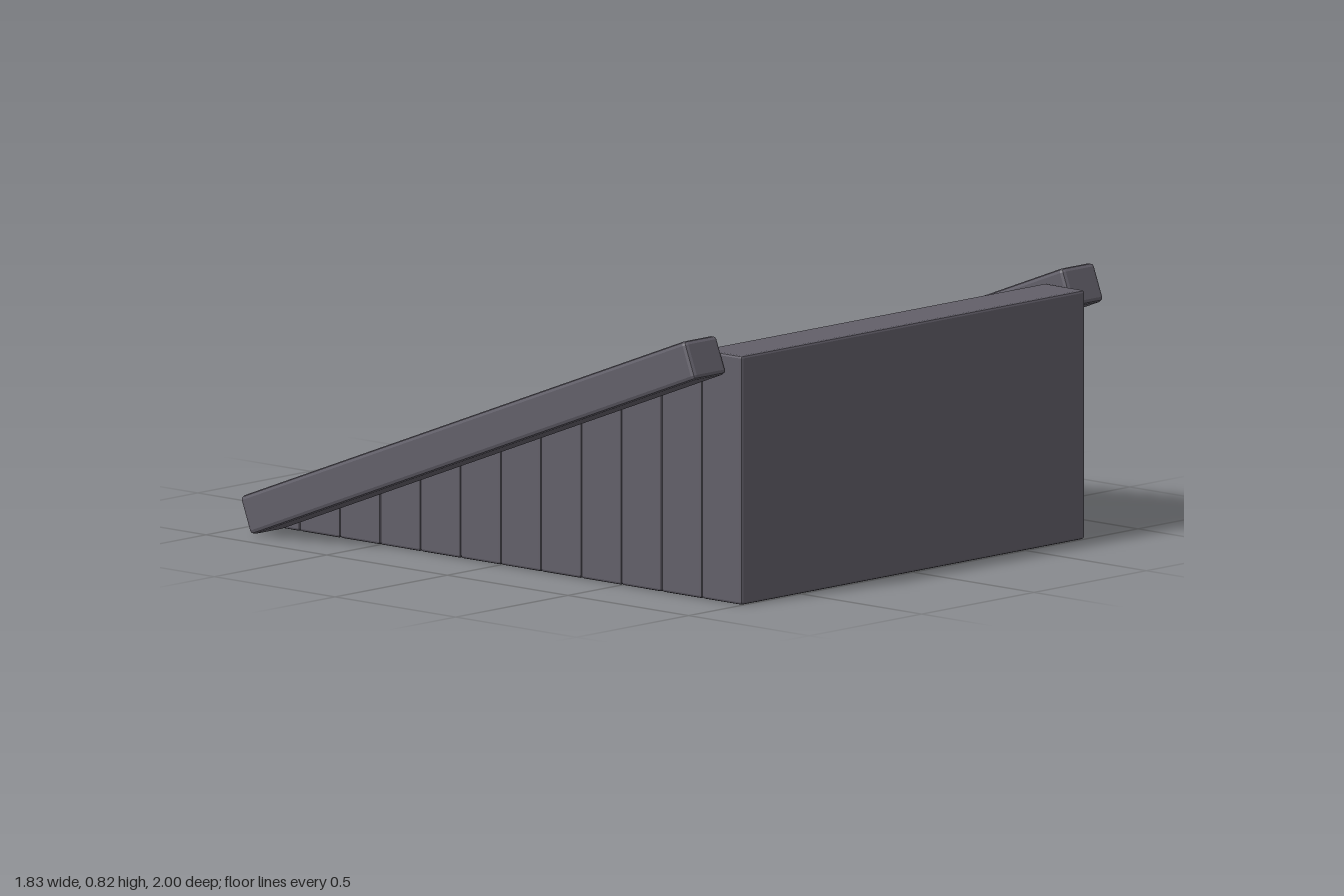
import * as THREE from 'three';
import { RoundedBoxGeometry } from 'three/addons/geometries/RoundedBoxGeometry.js';

export function createModel() {
  const group = new THREE.Group();
  group.name = 'staircase';

  const stone = new THREE.MeshStandardMaterial({ color: 0x625f69 });
  stone.name = 'dark grey stone';

  // Block with narrow flat chamfers along its edges
  function block(name, width, height, depth, chamfer) {
    const geometry = new RoundedBoxGeometry(width, height, depth, 1, chamfer);
    geometry.computeVertexNormals();
    const mesh = new THREE.Mesh(geometry, stone);
    mesh.name = name;
    group.add(mesh);
    return mesh;
  }

  // Steps: full-height blocks rising from the back to the front
  const count = 12, depth = 2 / count, rise = 0.064;
  for (let i = 0; i < count; i++) {
    const height = rise * (i + 1);
    const step = block('step' + (i + 1), 1.528, height, depth, 0.008);
    step.position.set(0, height / 2 + 0.004, -1 + depth * (i + 0.5));
  }

  // Sloping side rails
  for (const side of [1, -1]) {
    const rail = block(side > 0 ? 'leftRail' : 'rightRail', 0.145, 0.122, 1.977, 0.013);
    rail.position.set(side * 0.84, 0.415, 0);
    rail.rotation.x = -Math.atan2(0.71, 1.845);
  }

  return group;
}
